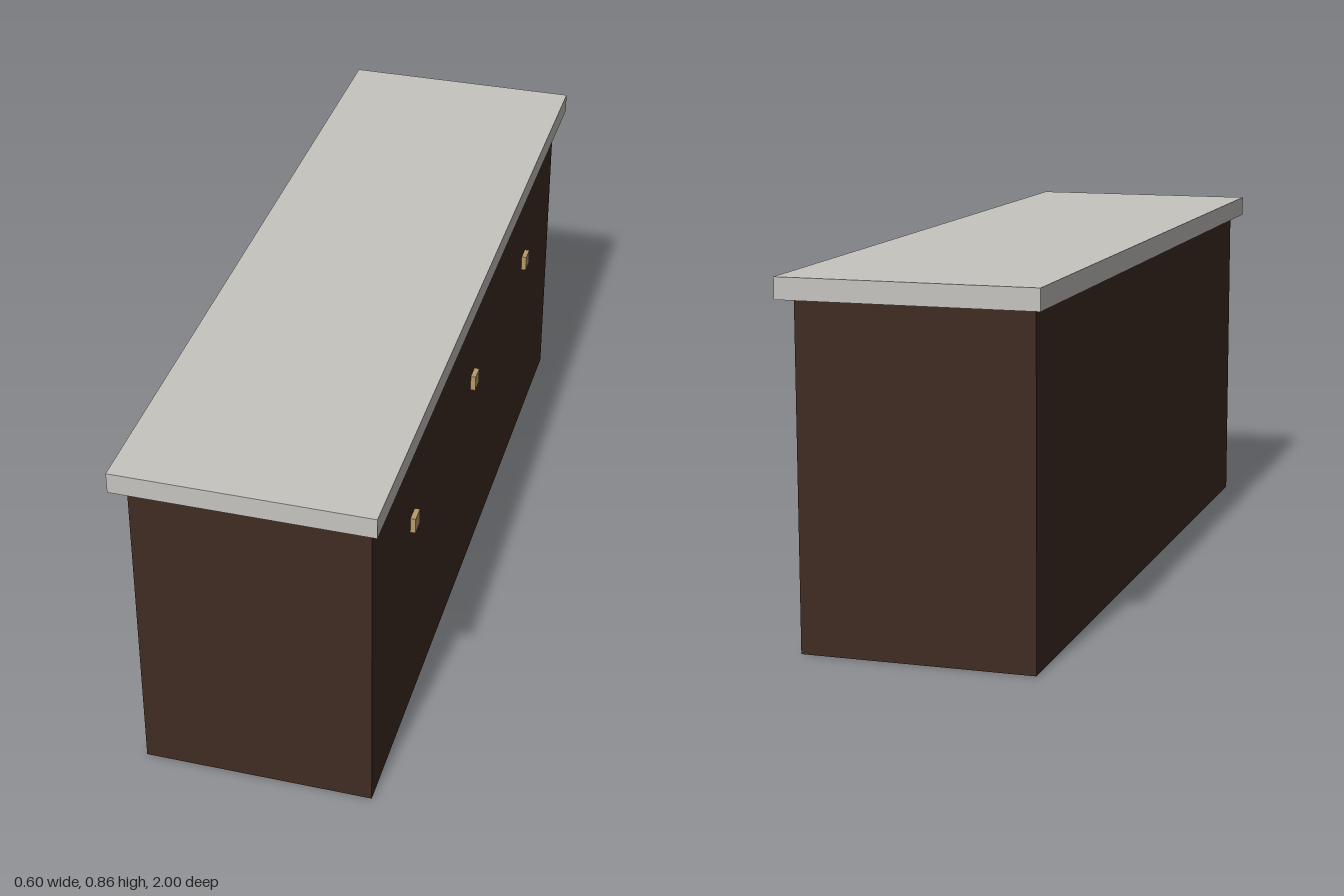
import * as THREE from 'three';

const material = (name, color) => {
  const m = new THREE.MeshStandardMaterial({ color });
  m.name = name;
  return m;
};

export function createModel() {
  const wood = material('dark wood', 0x402c23);
  const stone = material('pale stone', 0xc6c4bf);
  const brass = material('brass', 0xb89a68);

  const group = new THREE.Group();
  group.name = 'counter';

  const box = (name, mat, [w, h, d], [x, y, z]) => {
    const mesh = new THREE.Mesh(new THREE.BoxGeometry(w, h, d), mat);
    mesh.name = name;
    mesh.position.set(x, y, z);
    group.add(mesh);
  };

  // Cabinet, with the worktop overhanging it above a hairline gap
  box('cabinet', wood, [0.55, 0.8, 1.9], [0, 0.4, 0]);
  box('worktop', stone, [0.6, 0.05, 2], [0, 0.83, 0]);

  // Row of square knobs, half sunk into the left face
  [0.6, 0, -0.6].forEach((z, i) => {
    box(`knob${i + 1}`, brass, [0.025, 0.04, 0.04], [0.275, 0.55, z]);
  });

  return group;
}
